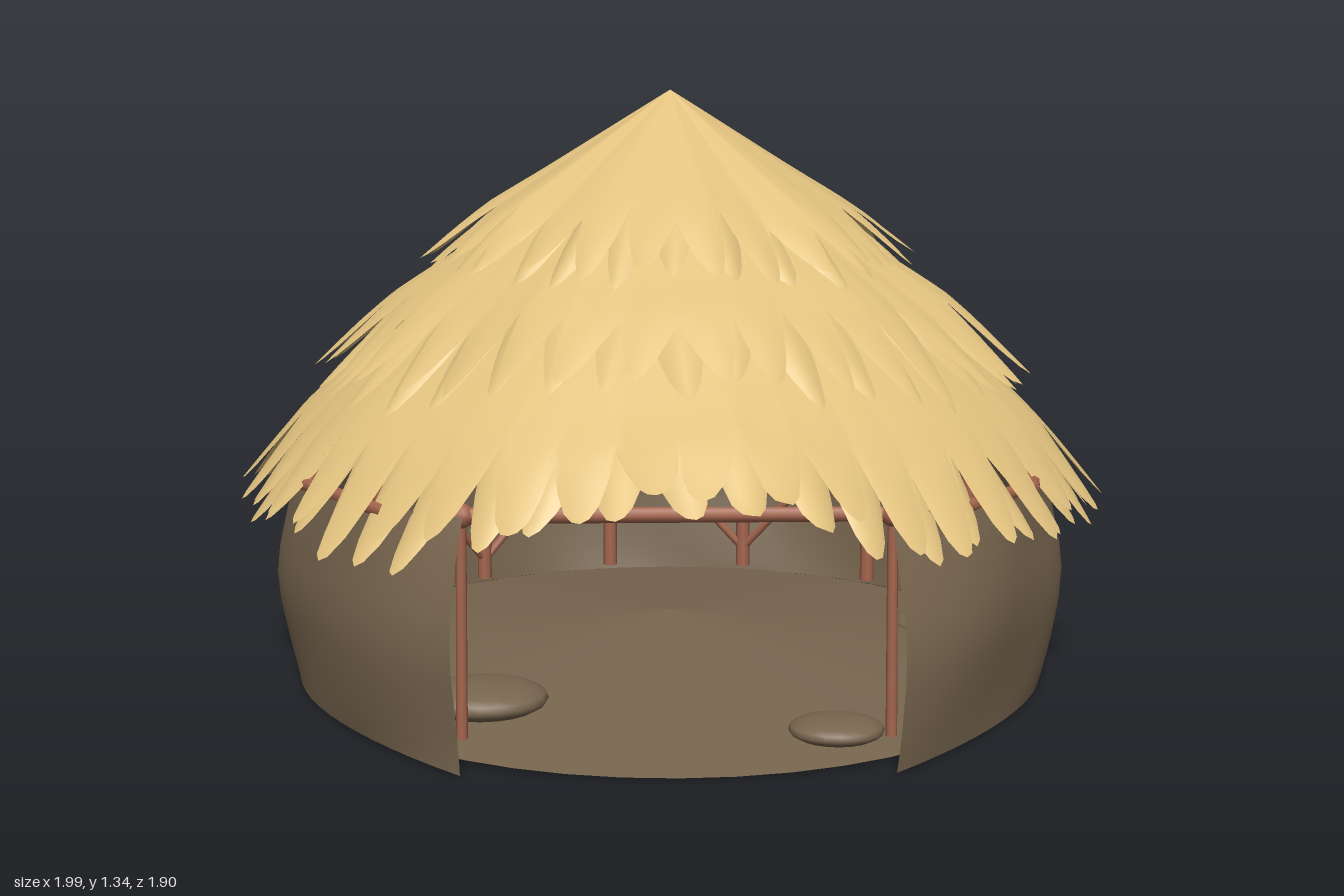
import * as THREE from 'three';

const mat = (name, color, side = THREE.FrontSide) => {
  const m = new THREE.MeshStandardMaterial({ color, side });
  m.name = name;
  return m;
};

export function createModel() {
  const hut = new THREE.Group();
  hut.name = 'hut';
  const thatch = mat('straw', 0xe2c27f, THREE.DoubleSide);
  const mud = mat('mud', 0x77654e, THREE.DoubleSide);
  const wood = mat('wood', 0xa5664e);

  let seed = 7;
  const rand = () => (seed = (seed * 16807) % 2147483647) / 2147483647;

  const add = (parent, name, geo, material) => {
    const m = new THREE.Mesh(geo, material);
    m.name = name;
    parent.add(m);
    return m;
  };

  // Surface from rows x cols of points; rows run downwards, cols run round the hut
  const grid = (rows, cols, closed, point) => {
    const pos = [], idx = [];
    const n = closed ? cols : cols + 1;
    for (let i = 0; i <= rows; i++)
      for (let j = 0; j < n; j++) pos.push(...point(i / rows, j));
    for (let i = 0; i < rows; i++)
      for (let j = 0; j < cols; j++) {
        const a = i * n + j, c = i * n + ((j + 1) % n);
        idx.push(a, a + n, c, c, a + n, c + n);
      }
    const g = new THREE.BufferGeometry();
    g.setAttribute('position', new THREE.Float32BufferAttribute(pos, 3));
    g.setIndex(idx);
    g.computeVertexNormals();
    return g;
  };

  // One thatch layer: a lathe-like skirt whose lower edge is cut into leaf-shaped tufts
  const skirt = (name, { profile, teeth, root, cz, sz, lift, power }, inner) => {
    const curve = new THREE.SplineCurve(profile.map(p => new THREE.Vector2(...p)));
    const K = 8;
    const tufts = Array.from({ length: teeth }, () => ({
      len: 1 - 0.12 * rand(), skew: (rand() - 0.5) * 0.09, dip: (rand() - 0.5) * 0.04,
    }));
    const notches = tufts.map(() => root - 0.05 + 0.1 * rand());
    const geo = grid(16, teeth * K, true, (v, j) => {
      const k = Math.floor(j / K), t = tufts[k];
      const w = ((j % K) / K) * 2 - 1;
      const notch = notches[w > 0 ? (k + 1) % teeth : k];
      const edge = Math.abs(w) ** power;
      const s = v * (t.len + (notch - t.len) * edge);
      const p = curve.getPoint(s);
      const free = Math.max(0, (s - root) / (1 - root));
      const a = (j / (teeth * K)) * Math.PI * 2 + free * t.skew + (inner ? Math.PI / teeth : 0);
      const off = Math.atan2(Math.sin(a), Math.cos(a));
      // the eaves rise over the doorway
      const front = Math.abs(off) < 0.75 ? Math.cos(off * Math.PI / 1.5) ** 2 : 0;
      const up = lift * front * s * s;
      const fold = 0.008 * v * (Math.sin(a * 7 + teeth) + Math.sin(a * 11));
      const r = p.x - up * 0.1 - (inner ? 0.02 * v : 0);
      const y = p.y + up + fold + free * (t.dip - 0.03 * edge) - (inner ? 0.035 * v : 0);
      return [r * Math.sin(a), y, cz + sz * r * Math.cos(a)];
    });
    add(hut, name, geo, thatch);
  };

  const tiers = {
    upperThatch: { profile: [[0, 1.34], [0.27, 1.17], [0.46, 1.05], [0.585, 0.945]], teeth: 27, root: 0.6, cz: 0.05, sz: 0.98, lift: 0.02, power: 1.25 },
    middleThatch: { profile: [[0.3, 1.1], [0.5, 0.965], [0.68, 0.84], [0.84, 0.69]], teeth: 36, root: 0.6, cz: 0.035, sz: 0.95, lift: 0.09, power: 1.3 },
    lowerThatch: { profile: [[0.55, 0.86], [0.74, 0.71], [0.88, 0.575], [1.015, 0.41]], teeth: 44, root: 0.62, cz: 0, sz: 0.965, lift: 0.165, power: 1.8 },
  };
  for (const [name, tier] of Object.entries(tiers)) {
    skirt(name, tier, false);
    skirt(name + 'Lining', tier, true);
  }

  // Mud wall, open at the front, its two ends flaring forwards near the ground
  const gap = 0.52, CZ = 0.035;
  const wallShape = new THREE.SplineCurve(
    [[0.862, 0.5], [0.885, 0.4], [0.908, 0.25], [0.89, 0.1], [0.872, 0]].map(p => new THREE.Vector2(...p)));
  const around = (r, a, y) => new THREE.Vector3(r * Math.sin(a), y, CZ + 0.975 * r * Math.cos(a));
  const wall = grid(10, 72, false, (v, j) => {
    const a = gap + (j / 72) * (Math.PI * 2 - 2 * gap);
    const p = wallShape.getPoint(v);
    const end = Math.max(0, 1 - Math.min(j, 72 - j) / 8);
    const wave = 0.008 * Math.sin(a * 9 + v * 3) * Math.sin(v * Math.PI);
    const q = around(p.x + wave, a, p.y);
    return [q.x, q.y, q.z + 0.085 * v * end * end];
  });
  add(hut, 'wall', wall, mud);

  // Gently mounded floor with low humps pushed through it
  const floor = add(hut, 'floor', new THREE.ConeGeometry(0.865, 0.11, 48, 4, true), mud);
  floor.position.set(0, 0.056, CZ);
  floor.scale.z = 0.98;
  for (const [x, y, z, r] of [[-0.41, 0.055, 0.53, 0.14], [0.33, 0.035, 0.69, 0.1], [0.69, 0.035, -0.1, 0.14]]) {
    const hump = add(hut, 'floorHump', new THREE.SphereGeometry(r, 20, 10), mud);
    hump.scale.set(1, 0.28, 0.85);
    hump.position.set(x, y, z);
  }

  // Wooden frame: posts and rafters round the wall, zigzag braces between them
  const frame = new THREE.Group();
  frame.name = 'frame';
  hut.add(frame);
  const pole = (name, a, b, r) => {
    const m = add(frame, name, new THREE.CylinderGeometry(r * 0.9, r, a.distanceTo(b), 8), wood);
    m.position.copy(a).lerp(b, 0.5);
    m.quaternion.setFromUnitVectors(new THREE.Vector3(0, 1, 0), b.clone().sub(a).normalize());
  };
  const R = 0.84, N = 12, first = 0.65, step = 0.445;
  for (let i = 0; i < N; i++) {
    const a = first + i * step, b = a + step;
    pole('post', around(R, a, 0.02), around(R, a, 0.5), 0.019);
    pole('rafter', around(R, a, 0.5), around(0.06, a, 1.2), 0.012);
    if (i === N - 1) continue;
    pole('ringBeam', around(0.875, a, 0.49), around(0.875, b, 0.49), 0.016);
    const [lo, hi] = i % 2 ? [a, b] : [b, a];
    pole('brace', around(R, lo, 0.07), around(R, hi, 0.47), 0.011);
  }

  // Doorway: lintel, slim door posts and rounded lashings where they meet
  const DZ = 0.72;
  pole('lintel', new THREE.Vector3(-0.48, 0.495, DZ), new THREE.Vector3(0.48, 0.495, DZ), 0.017);
  for (const s of [-1, 1]) {
    pole('doorPost', new THREE.Vector3(s * 0.44, 0.03, DZ), new THREE.Vector3(s * 0.435, 0.5, DZ), 0.012);
    add(frame, 'lashing', new THREE.SphereGeometry(0.026, 10, 8), wood).position.set(s * 0.435, 0.495, DZ);
  }
  return hut;
}
